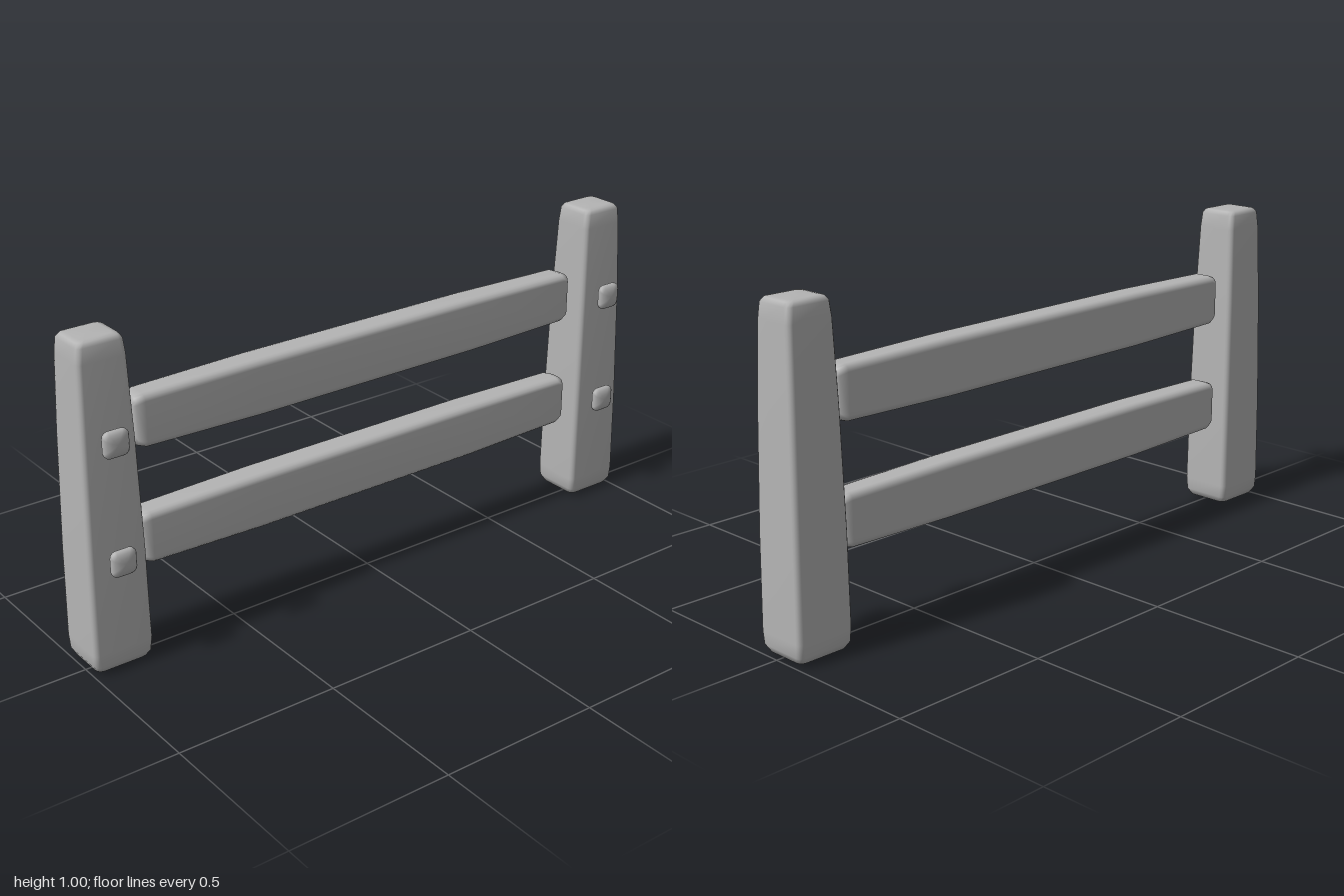
import * as THREE from 'three';

// Lofts rounded rectangles along y. Each section: [y, centre x, centre z, half x, half z, corner radius]
function loft(sections, cornerSteps = 3) {
  const pos = [], index = [];
  const ring = 4 * (cornerSteps + 1);
  for (const [y, cx, cz, hx, hz, r] of sections) {
    for (let c = 0; c < 4; c++) {
      const sx = c === 0 || c === 3 ? 1 : -1, sz = c < 2 ? 1 : -1;
      for (let i = 0; i <= cornerSteps; i++) {
        const a = (c + i / cornerSteps) * Math.PI / 2;
        pos.push(cx + sx * (hx - r) + r * Math.cos(a), y, cz + sz * (hz - r) + r * Math.sin(a));
      }
    }
  }
  const last = sections.length - 1;
  for (let s = 0; s < last; s++) {
    for (let i = 0; i < ring; i++) {
      const a = s * ring + i, b = s * ring + (i + 1) % ring;
      index.push(a, a + ring, b, b, a + ring, b + ring);
    }
  }
  // End caps
  const bottom = pos.length / 3, top = bottom + 1;
  for (const s of [sections[0], sections[last]]) pos.push(s[1], s[0], s[2]);
  for (let i = 0; i < ring; i++) {
    const j = (i + 1) % ring;
    index.push(bottom, i, j, top, last * ring + j, last * ring + i);
  }
  const g = new THREE.BufferGeometry();
  g.setAttribute('position', new THREE.Float32BufferAttribute(pos, 3));
  g.setIndex(index);
  // Tangents of the section corners run from +x to +z, so sides face outward
  g.computeVertexNormals();
  return g;
}

export function createModel() {
  const group = new THREE.Group();
  const grey = new THREE.MeshStandardMaterial({ color: 0xb4b4b4 });
  grey.name = 'plain grey';

  const add = (name, geometry, x, y, z) => {
    const mesh = new THREE.Mesh(geometry, grey);
    mesh.name = name;
    mesh.position.set(x, y, z);
    group.add(mesh);
  };

  // Tapered post with softened ends
  const post = loft([
    [0.0, 0, 0, 0.055, 0.045, 0.02],
    [0.01, 0, 0, 0.082, 0.072, 0.02],
    [0.03, 0, 0, 0.092, 0.083, 0.018],
    [0.07, 0, 0, 0.094, 0.084, 0.015],
    [0.35, 0, 0, 0.091, 0.082, 0.015],
    [0.7, 0, 0, 0.083, 0.076, 0.015],
    [0.94, 0, 0, 0.076, 0.068, 0.016],
    [0.985, 0, 0, 0.072, 0.065, 0.018],
    [0.997, 0, 0, 0.064, 0.057, 0.018],
    [1.0, 0, 0, 0.05, 0.043, 0.015],
  ]);

  // Rail with a slightly fuller middle
  const rail = loft([
    [-0.8, 0, 0, 0.055, 0.024, 0.015],
    [-0.795, 0, 0, 0.072, 0.036, 0.02],
    [-0.77, 0, 0, 0.08, 0.044, 0.02],
    [-0.4, 0, 0, 0.086, 0.048, 0.02],
    [0.4, 0, 0, 0.086, 0.048, 0.02],
    [0.77, 0, 0, 0.08, 0.044, 0.02],
    [0.795, 0, 0, 0.072, 0.036, 0.02],
    [0.8, 0, 0, 0.055, 0.024, 0.015],
  ]).rotateZ(Math.PI / 2);

  // Pillow-shaped peg head
  const peg = loft([
    [-0.016, 0, 0, 0.018, 0.018, 0.01],
    [-0.012, 0, 0, 0.031, 0.031, 0.016],
    [-0.005, 0, 0, 0.039, 0.039, 0.018],
    [0.005, 0, 0, 0.039, 0.039, 0.018],
    [0.012, 0, 0, 0.031, 0.031, 0.016],
    [0.016, 0, 0, 0.018, 0.018, 0.01],
  ]).rotateX(Math.PI / 2);

  for (const [side, s] of [['left', 1], ['right', -1]]) {
    add(side + 'Post', post, s * 0.906, 0, -0.018);
    add(side + 'UpperPeg', peg, s * 0.905, 0.715, 0.089);
    add(side + 'LowerPeg', peg, s * 0.905, 0.355, 0.089);
  }
  add('upperRail', rail, 0, 0.715, -0.02);
  add('lowerRail', rail, 0, 0.355, -0.02);
  return group;
}
